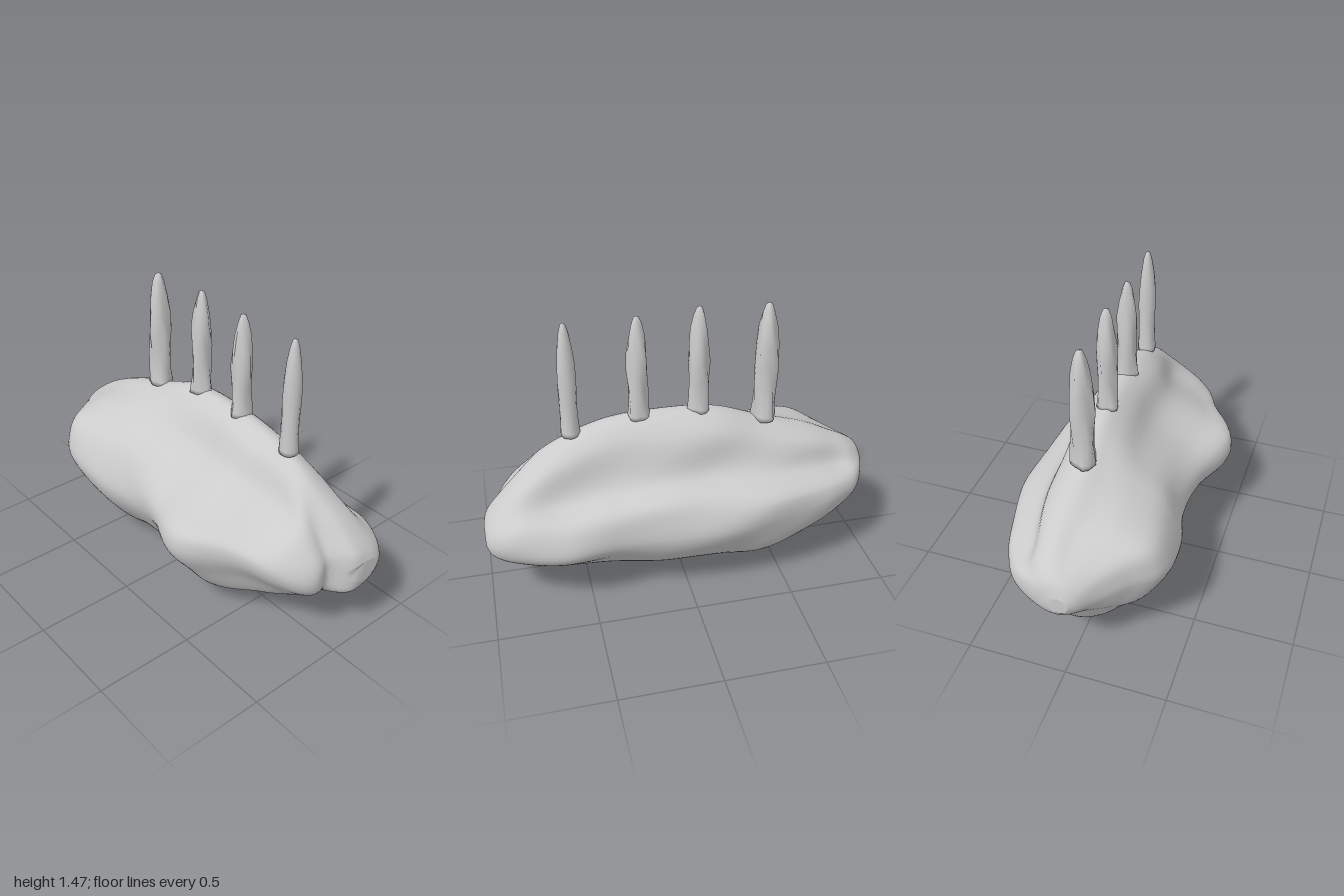
import * as THREE from 'three';

const material = new THREE.MeshStandardMaterial({ color: 0xcccccc, side: THREE.DoubleSide });
const { lerp, clamp, smoothstep } = THREE.MathUtils;

// Body stations along x: x, top, bottom, front z, front y, back z, back y, fullness of front shoulder
const stations = [
  [-1.00, 0.51, 0.42, 0.03, 0.46, -0.06, 0.46, 0.8],
  [-0.97, 0.58, 0.37, 0.07, 0.46, -0.16, 0.47, 0.9],
  [-0.90, 0.64, 0.30, 0.14, 0.48, -0.27, 0.48, 1.0],
  [-0.80, 0.695, 0.18, 0.25, 0.49, -0.335, 0.49, 1.0],
  [-0.68, 0.75, 0.10, 0.37, 0.48, -0.39, 0.49, 1.0],
  [-0.40, 0.845, -0.02, 0.38, 0.44, -0.45, 0.48, 0.75],
  [-0.18, 0.925, 0.03, 0.34, 0.42, -0.46, 0.46, 0.5],
  [0.08, 0.945, 0.055, 0.36, 0.44, -0.45, 0.46, 0.25],
  [0.36, 0.92, 0.09, 0.455, 0.475, -0.41, 0.42, 0.1],
  [0.62, 0.83, 0.15, 0.30, 0.47, -0.415, 0.40, 0.1],
  [0.82, 0.68, 0.215, 0.22, 0.46, -0.39, 0.40, 0.2],
  [0.93, 0.57, 0.255, 0.15, 0.45, -0.345, 0.41, 0.3],
  [0.98, 0.51, 0.29, 0.08, 0.44, -0.30, 0.41, 0.5],
  [1.00, 0.46, 0.35, -0.09, 0.42, -0.26, 0.41, 0.5],
];

// One closed cross-section: ridge, blunt front bulge, keel, back bulge and back waist
function crossSection([x, top, bottom, zF, yF, zB, yB, full]) {
  const w = zF - zB, h = top - bottom;
  const zr = clamp(-0.09, zB + 0.3 * w, zF - 0.3 * w);
  const zc = lerp(zF, zB, lerp(0.46, 0.4, full));
  const low = lerp(0.95, 0.72, full);
  const front = (a, b) => [lerp(zr, zF, a), lerp(top, yF, b)];
  const back = (a, b) => [lerp(zr, zB, a), lerp(top, yB, b)];
  const under = (z, y, a, b) => [lerp(zc, z, a), lerp(y, bottom, b)];
  const outline = [
    [zr, top],
    front(lerp(0.18, 0.25, full), 0.12),
    front(lerp(0.33, 0.58, full), lerp(0.47, 0.24, full)),
    front(lerp(0.7, 0.88, full), lerp(0.74, 0.46, full)),
    [lerp(zr, zF, 0.98), yF + 0.07 * h],
    [zF, yF - 0.05 * h],
    under(zF, yF, 0.75, 0.5),
    under(zF, yF, 0.42, low),
    [zc, bottom + 0.1 * h * (1 - full)],
    under(zB, yB, 0.45, low),
    under(zB, yB, 0.8, 0.55),
    [zB, yB - 0.07 * h],
    [lerp(zr, zB, 0.98), yB + 0.06 * h],
    back(0.87, 0.73),
    back(0.53, 0.58),
    back(0.34, 0.18),
  ];
  // Sections turn oval towards the two ends
  const oval = smoothstep(Math.abs(x), x > 0 ? 0.6 : 0.82, 1);
  const points = outline.map(([z, y], i) => {
    const angle = (i / outline.length) * Math.PI * 2;
    const oz = (zF + zB) / 2 + (w / 2) * Math.sin(angle);
    const oy = (top + bottom) / 2 + (h / 2) * Math.cos(angle);
    return new THREE.Vector3(x, lerp(y, oy, oval), lerp(z, oz, oval));
  });
  return new THREE.CatmullRomCurve3(points, true, 'centripetal');
}

// Splines run through the sections lengthwise to make the smooth body
function makeBody() {
  const around = 80, along = 110, positions = [], index = [];
  const sections = stations.map(crossSection);
  const rails = [];
  for (let j = 0; j < around; j++) {
    rails.push(new THREE.CatmullRomCurve3(sections.map(s => s.getPoint(j / around)), false, 'centripetal'));
  }
  for (let i = 0; i <= along; i++) {
    for (const rail of rails) {
      const p = rail.getPoint(i / along);
      // Cleft between the front and back lobes at the left end
      const end = smoothstep(p.x, 0.65, 1);
      p.x -= end * (0.07 * Math.exp(-(((p.z + 0.03) / 0.05) ** 2)) + 0.06 * smoothstep(p.z, -0.08, 0.05));
      // Gentle lumps
      p.z += 0.008 * Math.sin(9 * p.x + 14 * p.y) * smoothstep(Math.abs(p.z), 0.05, 0.3);
      positions.push(p.x, p.y, p.z);
    }
  }
  for (let i = 0; i < along; i++) {
    for (let j = 0; j < around; j++) {
      const k = (j + 1) % around;
      const a = i * around + j, b = i * around + k;
      const c = a + around, d = b + around;
      index.push(a, b, c, b, d, c);
    }
  }
  // End caps
  const last = along * around;
  for (let j = 1; j < around - 1; j++) {
    index.push(0, j + 1, j, last, last + j, last + j + 1);
  }
  const geometry = new THREE.BufferGeometry();
  geometry.setAttribute('position', new THREE.Float32BufferAttribute(positions, 3));
  geometry.setIndex(index);
  geometry.computeVertexNormals();
  return geometry;
}

// Tapered, slightly knobbly spike with a blunt tip
function makeSpike(radius, height, rough, seed) {
  const profile = [[0, 0], [1, 0], [0.98, 0.04], [0.9, 0.14], [0.88, 0.3], [0.93, 0.48], [0.87, 0.65],
    [0.7, 0.8], [0.47, 0.92], [0.25, 0.985], [0, 1]]
    .map(([r, y]) => new THREE.Vector2(r * radius, y * height));
  const geometry = new THREE.LatheGeometry(profile, 14);
  const pos = geometry.attributes.position;
  for (let i = 0; i < pos.count; i++) {
    const x = pos.getX(i), y = pos.getY(i), z = pos.getZ(i);
    const angle = Math.atan2(z, x), t = y / height;
    const s = 1 + rough * (Math.sin(3 * angle + 7 * t + seed) + 0.7 * Math.sin(5 * angle - 11 * t + 2 * seed));
    pos.setXYZ(i, x * s, y, z * s);
  }
  geometry.computeVertexNormals();
  return geometry;
}

export function createModel() {
  const model = new THREE.Group();
  const body = new THREE.Mesh(makeBody(), material);
  body.name = 'body';
  model.add(body);

  // Row of spikes: x, base y, tip y, radius, roughness
  const spikes = new THREE.Group();
  spikes.name = 'spikes';
  [
    [-0.435, 0.83, 1.455, 0.062, 0.1],
    [-0.095, 0.92, 1.47, 0.054, 0.1],
    [0.205, 0.92, 1.45, 0.054, 0.08],
    [0.54, 0.865, 1.45, 0.048, 0.03],
  ].forEach(([x, base, tip, radius, rough], i) => {
    const spike = new THREE.Mesh(makeSpike(radius, tip - base, rough, i * 1.7), material);
    spike.name = `spike${i + 1}`;
    spike.position.set(x, base, -0.09);
    spikes.add(spike);
  });
  model.add(spikes);
  return model;
}
